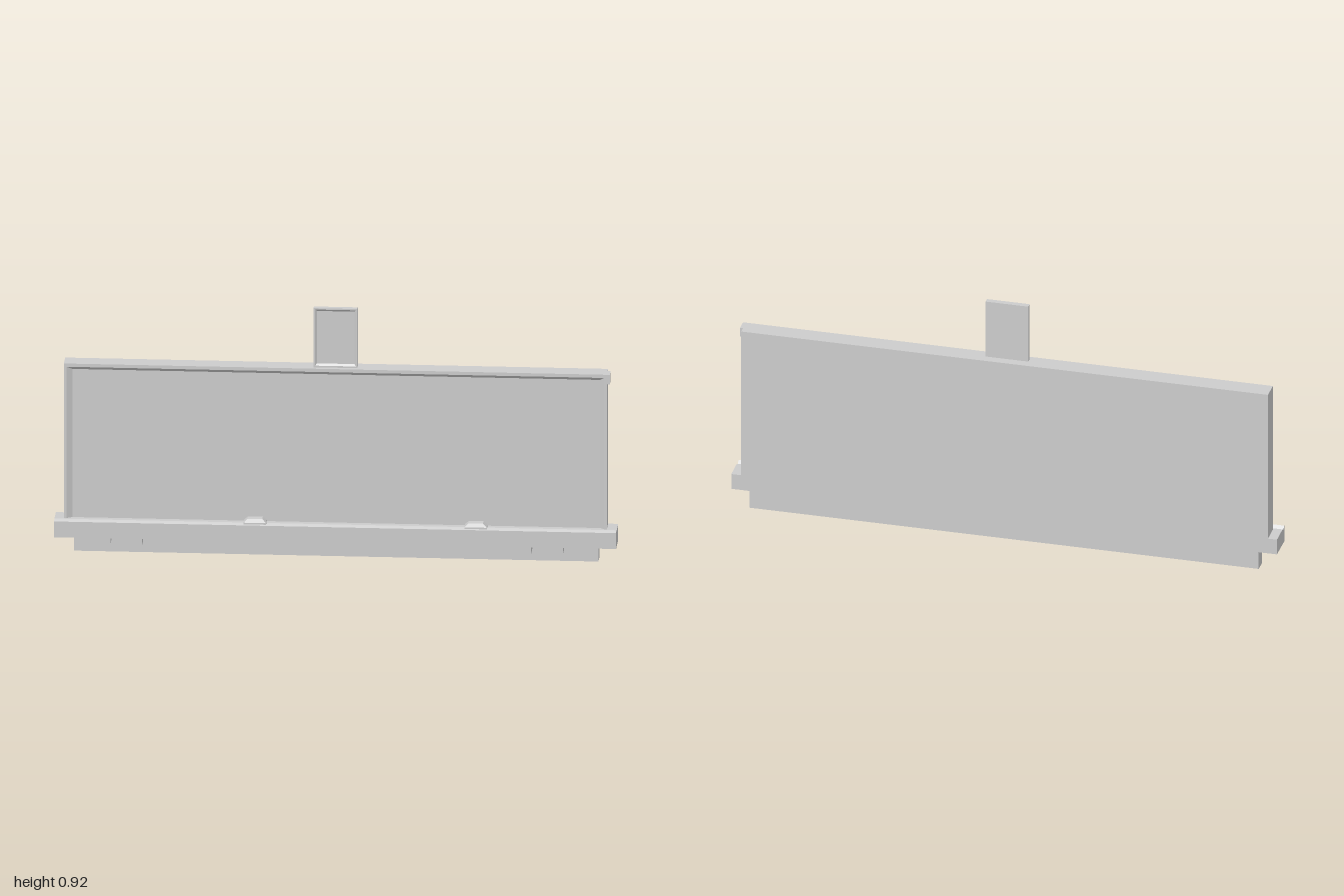
import * as THREE from 'three';

const material = new THREE.MeshStandardMaterial({ color: 0xcccccc, flatShading: true });

function add(parent, name, geometry) {
  const mesh = new THREE.Mesh(geometry, material);
  mesh.name = name;
  parent.add(mesh);
  return mesh;
}

// Box given by its extents on each axis
function box(parent, name, [x0, x1], [y0, y1], [z0, z1]) {
  const g = new THREE.BoxGeometry(x1 - x0, y1 - y0, z1 - z0);
  g.translate((x0 + x1) / 2, (y0 + y1) / 2, (z0 + z1) / 2);
  return add(parent, name, g);
}

// Section of [z, y] points swept along x
function sweepX(parent, name, points, x0, x1) {
  const shape = new THREE.Shape(points.map(([z, y]) => new THREE.Vector2(-z, y)));
  const g = new THREE.ExtrudeGeometry(shape, { depth: x1 - x0, bevelEnabled: false });
  g.rotateY(Math.PI / 2);
  g.translate(x0, 0, 0);
  return add(parent, name, g);
}

// Raised border with sloping inner faces around a recessed panel
function slopedBorder(parent, name, outer, lip, inner, zBack, zFront) {
  const rings = [[outer, zBack], [outer, zFront], [lip, zFront], [inner, zBack]];
  const pos = [], index = [];
  for (const [[x0, x1, y0, y1], z] of rings)
    pos.push(x0, y0, z, x1, y0, z, x1, y1, z, x0, y1, z);
  for (let r = 0; r < 3; r++)
    for (let i = 0; i < 4; i++) {
      const j = (i + 1) % 4, a = r * 4 + i, b = r * 4 + j;
      index.push(a, b, b + 4, a, b + 4, a + 4);
    }
  const g = new THREE.BufferGeometry();
  g.setAttribute('position', new THREE.Float32BufferAttribute(pos, 3));
  g.setIndex(index);
  const flat = g.toNonIndexed();
  flat.computeVertexNormals();
  return add(parent, name, flat);
}

export function createModel() {
  const model = new THREE.Group();
  model.name = 'wallBoard';

  // Writing panel and its frame, open along the tray
  box(model, 'panel', [-0.967, 0.964], [0.125, 0.702], [-0.055, 0.001]);
  slopedBorder(model, 'panelFrame', [-0.967, 0.964, 0.125, 0.702],
    [-0.958, 0.955, 0.125, 0.69], [-0.937, 0.94, 0.125, 0.678], 0.001, 0.015);

  // Small clip on the upper left corner
  box(model, 'cornerClip', [0.955, 0.975], [0.667, 0.702], [-0.028, 0.015]);

  // Tray with a shallow groove along its top
  sweepX(model, 'tray', [
    [-0.055, 0.067], [0.055, 0.067], [0.055, 0.126], [0.048, 0.13],
    [0.037, 0.12], [0.024, 0.127], [0.015, 0.127], [-0.055, 0.126],
  ], -1, 1);

  // Lower rail and the brackets in front of it
  box(model, 'lowerRail', [-0.933, 0.933], [0, 0.067], [-0.055, -0.005]);
  for (const x of [-0.805, -0.692, 0.692, 0.805])
    box(model, 'trayBracket', [x - 0.006, x + 0.006], [0.043, 0.067], [-0.005, 0.055]);

  // Erasers: flat base with a chamfered top
  for (const x of [-0.285, 0.5]) {
    const eraser = new THREE.Group();
    eraser.name = 'eraser';
    model.add(eraser);
    box(eraser, 'eraserPad', [x - 0.04, x + 0.04], [0.13, 0.136], [0.013, 0.055]);
    const top = new THREE.BoxGeometry(0.08, 0.013, 0.042, 4, 1, 4);
    const p = top.attributes.position;
    for (let i = 0; i < p.count; i++)
      if (p.getY(i) > 0) {
        p.setX(i, p.getX(i) * 0.65);
        p.setZ(i, p.getZ(i) * 0.7);
      }
    top.translate(x, 0.1425, 0.034);
    top.computeVertexNormals();
    add(eraser, 'eraserTop', top);
  }

  // Upright sign holder with a thin raised border
  box(model, 'signPlate', [-0.08, 0.076], [0.695, 0.922], [-0.022, -0.008]);
  slopedBorder(model, 'signFrame', [-0.08, 0.076, 0.7, 0.922],
    [-0.075, 0.071, 0.708, 0.917], [-0.068, 0.065, 0.715, 0.91], -0.008, -0.002);

  return model;
}
